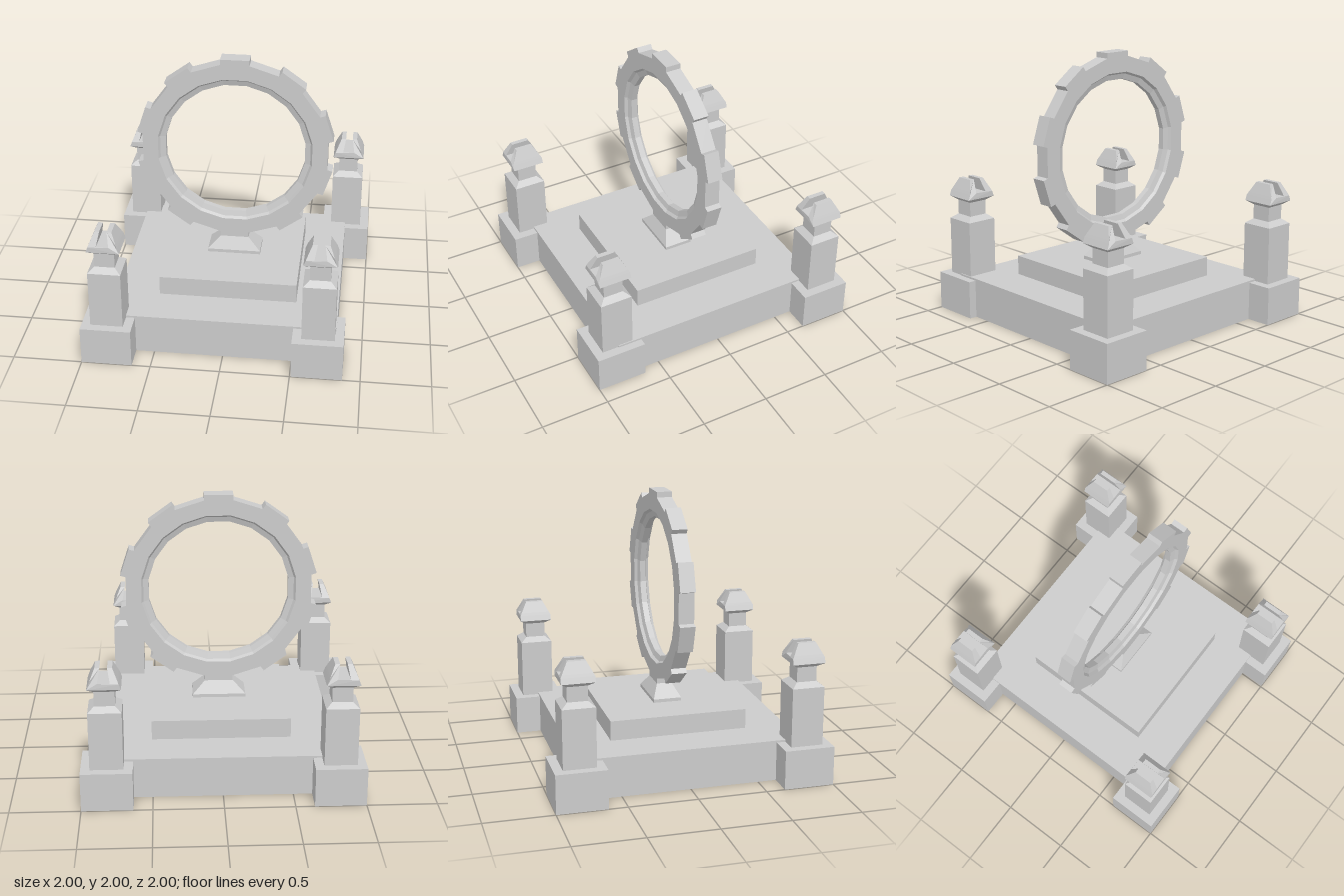
import * as THREE from 'three';

const material = new THREE.MeshStandardMaterial({ color: 0xcccccc, flatShading: true });
const bandMaterial = new THREE.MeshStandardMaterial({ color: 0xcccccc, flatShading: true, side: THREE.DoubleSide });

function add(parent, name, geometry, mat = material) {
  const mesh = new THREE.Mesh(geometry, mat);
  mesh.name = name;
  parent.add(mesh);
  return mesh;
}

// Four-sided block whose top may be a different size from its bottom
function block(y0, y1, w0, d0, w1 = w0, d1 = d0) {
  const g = new THREE.BoxGeometry(1, 1, 1);
  const p = g.attributes.position;
  for (let i = 0; i < p.count; i++) {
    const top = p.getY(i) > 0;
    p.setXYZ(i, p.getX(i) * (top ? w1 : w0), top ? y1 : y0, p.getZ(i) * (top ? d1 : d0));
  }
  g.computeVertexNormals();
  return g;
}

// Slotted cap: horned outline extruded in z, then narrowed towards the top
function capGeometry() {
  const half = [[0.118, 0.89], [0.103, 0.93], [0.095, 0.95], [0.06, 1.03], [0.026, 1.03], [0.044, 0.935]];
  const outline = [...half, ...half.map(([x, y]) => [-x, y]).reverse()];
  const shape = new THREE.Shape(outline.map(([x, y]) => new THREE.Vector2(x, y)));
  const g = new THREE.ExtrudeGeometry(shape, { depth: 1, bevelEnabled: false });
  const p = g.attributes.position;
  for (let i = 0; i < p.count; i++) {
    const t = Math.max(0, (p.getY(i) - 0.93) / 0.1);
    p.setZ(i, (p.getZ(i) * 2 - 1) * (0.118 - 0.053 * t));
  }
  g.computeVertexNormals();
  return g;
}

function pillar(name, x, z) {
  const g = new THREE.Group();
  g.name = name;
  add(g, 'pillarFoot', block(0, 0.285, 0.365, 0.365));
  add(g, 'pillarShaft', block(0.285, 0.715, 0.235, 0.235));
  add(g, 'pillarShoulder', block(0.715, 0.75, 0.235, 0.235, 0.145, 0.145));
  add(g, 'pillarNeck', block(0.75, 0.86, 0.145, 0.145));
  add(g, 'capFlare', block(0.858, 0.89, 0.145, 0.145, 0.236, 0.236));
  add(g, 'slottedCap', capGeometry());
  g.position.set(x, 0, z);
  return g;
}

// Upright toothed ring with a ridged inner band
function ring() {
  const g = new THREE.Group();
  g.name = 'toothedRing';
  const teeth = 10, sides = 20, depth = 0.112;
  const shape = new THREE.Shape();
  const points = [];
  for (let i = 0; i < teeth; i++) {
    const a = (i / teeth) * Math.PI * 2;
    for (const [x, y] of [[0.105, 0.68], [0.105, 0.72], [-0.105, 0.72], [-0.105, 0.68]]) {
      points.push(new THREE.Vector2(x, y).rotateAround(new THREE.Vector2(), a));
    }
  }
  shape.setFromPoints(points);

  const k = 1 / Math.cos(Math.PI / sides);
  const hole = [];
  for (let i = 0; i < sides; i++) {
    const a = ((i + 0.5) / sides) * Math.PI * 2;
    hole.push(new THREE.Vector2(Math.cos(a), Math.sin(a)).multiplyScalar(0.566 * k));
  }
  shape.holes.push(new THREE.Path(hole));
  const body = new THREE.ExtrudeGeometry(shape, { depth, bevelEnabled: false });
  body.translate(0, 0, -depth / 2);
  add(g, 'ringBody', body);

  const profile = [[0.566, -0.056], [0.552, -0.035], [0.512, -0.022], [0.512, 0.022], [0.552, 0.035], [0.566, 0.056]];
  const band = new THREE.LatheGeometry(
    profile.map(([r, y]) => new THREE.Vector2(r * k, y)), sides, Math.PI / sides);
  band.rotateX(Math.PI / 2);
  add(g, 'innerBand', band, bandMaterial);
  g.position.y = 1.28;
  return g;
}

export function createModel() {
  const model = new THREE.Group();
  model.name = 'ringMonument';

  // Stepped base
  add(model, 'platform', block(0, 0.3, 1.63, 1.63));
  add(model, 'dais', block(0.3, 0.445, 1.01, 1.01));

  // Ring stand
  add(model, 'standPlinth', block(0.445, 0.47, 0.395, 0.21));
  add(model, 'standTaper', block(0.47, 0.562, 0.395, 0.21, 0.21, 0.112));
  model.add(ring());

  // Corner pillars; the front left one stands further in
  model.add(pillar('backRightPillar', -0.8175, -0.8175));
  model.add(pillar('backLeftPillar', 0.8175, -0.8175));
  model.add(pillar('frontRightPillar', -0.8175, 0.8175));
  model.add(pillar('frontLeftPillar', 0.69, 0.8175));
  return model;
}
